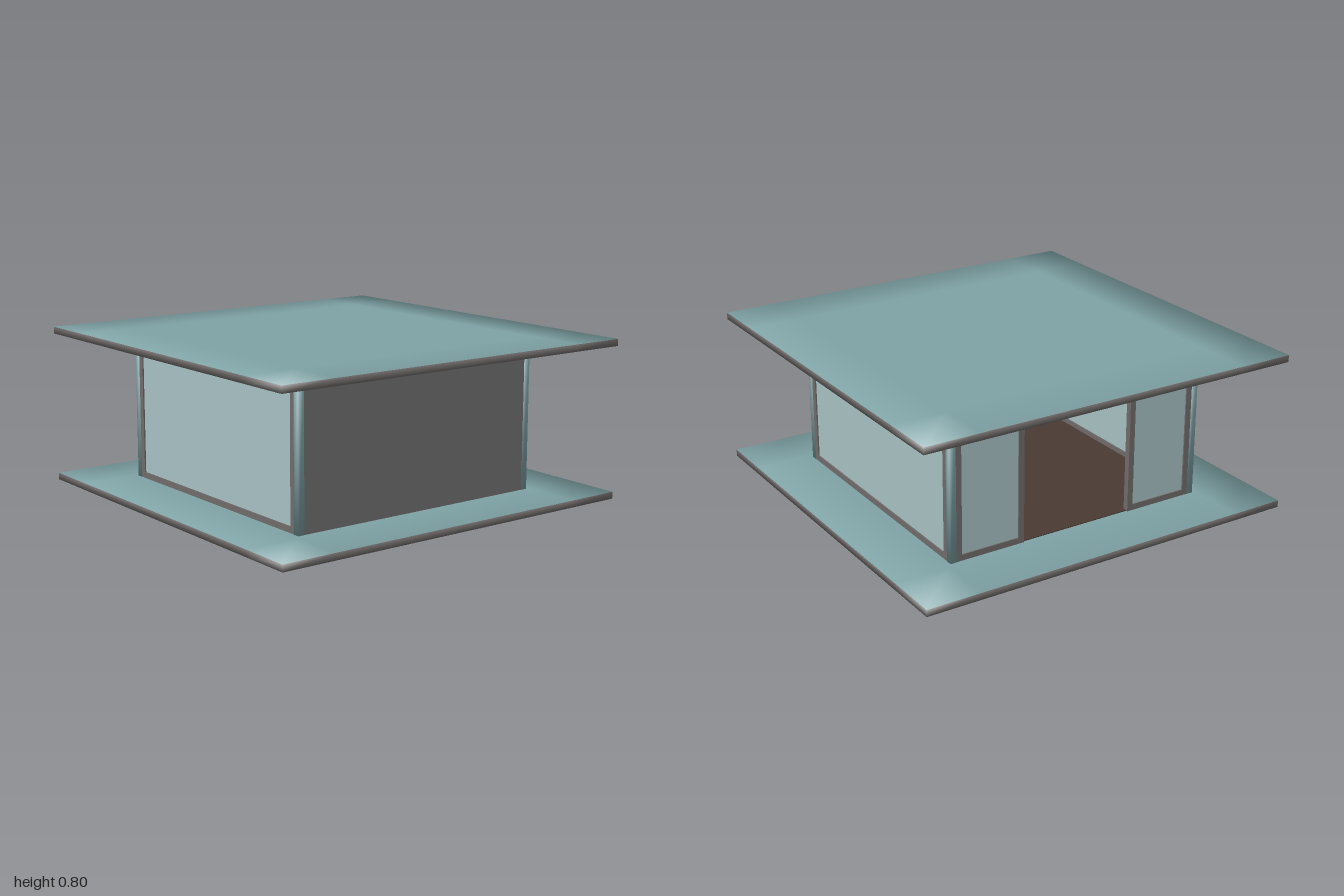
import * as THREE from 'three';

const mat = (color) => new THREE.MeshStandardMaterial({ color });

const SLAB = 0.035;          // slab thickness
const TOP = 0.8;             // overall height
const WALL_H = TOP - 2 * SLAB;
const MID_Y = TOP / 2;
const OUT = 0.7;             // outer face of the posts
const POST = 0.033;
const SPAN = 2 * (OUT - POST); // clear width between posts
const FRAME = 0.03;

// Box whose normals are averaged across its edges; on large faces the
// soft shading is confined to a border of the given width.
function softBox(w, h, d, border = 0) {
  const n = border ? 3 : 1;
  const g = new THREE.BoxGeometry(w, h, d, n, 1, n);
  const p = g.attributes.position;
  const v = new THREE.Vector3();
  const edge = (c, half) => (Math.abs(Math.abs(c) - half) < 1e-5 ? Math.sign(c) : 0);
  for (let i = 0; i < p.count; i++) {
    v.fromBufferAttribute(p, i);
    const nx = edge(v.x, w / 2), ny = edge(v.y, h / 2), nz = edge(v.z, d / 2);
    if (border && !nx) p.setX(i, Math.sign(v.x) * (w / 2 - border));
    if (border && !nz) p.setZ(i, Math.sign(v.z) * (d / 2 - border));
    v.set(nx, ny, nz).normalize();
    g.attributes.normal.setXYZ(i, v.x, v.y, v.z);
  }
  return g;
}

function add(parent, name, geometry, material, x = 0, y = 0, z = 0) {
  const mesh = new THREE.Mesh(geometry, material);
  mesh.name = name;
  mesh.position.set(x, y, z);
  parent.add(mesh);
  return mesh;
}

// Framed pane centred on the origin, facing +z
function windowPanel(name, w, h, frameMat, glassMat) {
  const group = new THREE.Group();
  group.name = name;
  const rect = (s, a, b) => s.moveTo(-a, -b).lineTo(a, -b).lineTo(a, b).lineTo(-a, b).closePath();
  const shape = rect(new THREE.Shape(), w / 2, h / 2);
  shape.holes.push(rect(new THREE.Path(), w / 2 - FRAME, h / 2 - FRAME));
  const frame = new THREE.ExtrudeGeometry(shape, { depth: 0.03, bevelEnabled: false });
  frame.translate(0, 0, -0.015);
  add(group, 'windowFrame', frame, frameMat);
  add(group, 'windowPane', new THREE.BoxGeometry(w - 2 * FRAME, h - 2 * FRAME, 0.016), glassMat);
  return group;
}

export function createModel() {
  const model = new THREE.Group();
  model.name = 'pavilion';
  const teal = mat(0x7fa3a6), rim = mat(0x716c6c), wallGrey = mat(0x727272);
  const glass = mat(0xa9c2c4), brown = mat(0x4a3a34);

  // Base and roof slabs: teal faces with a grey rim
  const slabMats = [rim, rim, teal, teal, rim, rim];
  add(model, 'baseSlab', softBox(2, SLAB, 2, 0.28), slabMats, 0, SLAB / 2, 0);
  add(model, 'roofSlab', softBox(2, SLAB, 2, 0.28), slabMats, 0, TOP - SLAB / 2, 0);

  // Inner floor
  add(model, 'innerFloor', new THREE.BoxGeometry(1.38, 0.004, 1.38), brown, 0, SLAB + 0.002, 0);

  // Corner posts
  const c = OUT - POST / 2;
  for (const sx of [-1, 1]) for (const sz of [-1, 1]) {
    add(model, 'cornerPost', softBox(POST, WALL_H, POST), teal, sx * c, MID_Y, sz * c);
  }

  // Solid front wall
  add(model, 'frontWall', new THREE.BoxGeometry(SPAN, WALL_H, 0.03), wallGrey, 0, MID_Y, c);

  // Full-width side windows
  for (const s of [-1, 1]) {
    const side = windowPanel('sideWindow', SPAN, WALL_H, rim, glass);
    side.position.set(s * c, MID_Y, 0);
    side.rotation.y = s * Math.PI / 2;
    model.add(side);
  }

  // Back: two narrow windows flanking an open doorway with a header
  const door = 0.3;
  const narrow = SPAN / 2 - door;
  for (const s of [-1, 1]) {
    const panel = windowPanel('backWindow', narrow, WALL_H, rim, glass);
    panel.position.set(s * (door + narrow / 2), MID_Y, -c);
    panel.rotation.y = Math.PI;
    model.add(panel);
  }
  add(model, 'doorHeader', new THREE.BoxGeometry(2 * door, FRAME, 0.03), rim,
    0, TOP - SLAB - FRAME / 2, -c);

  return model;
}
